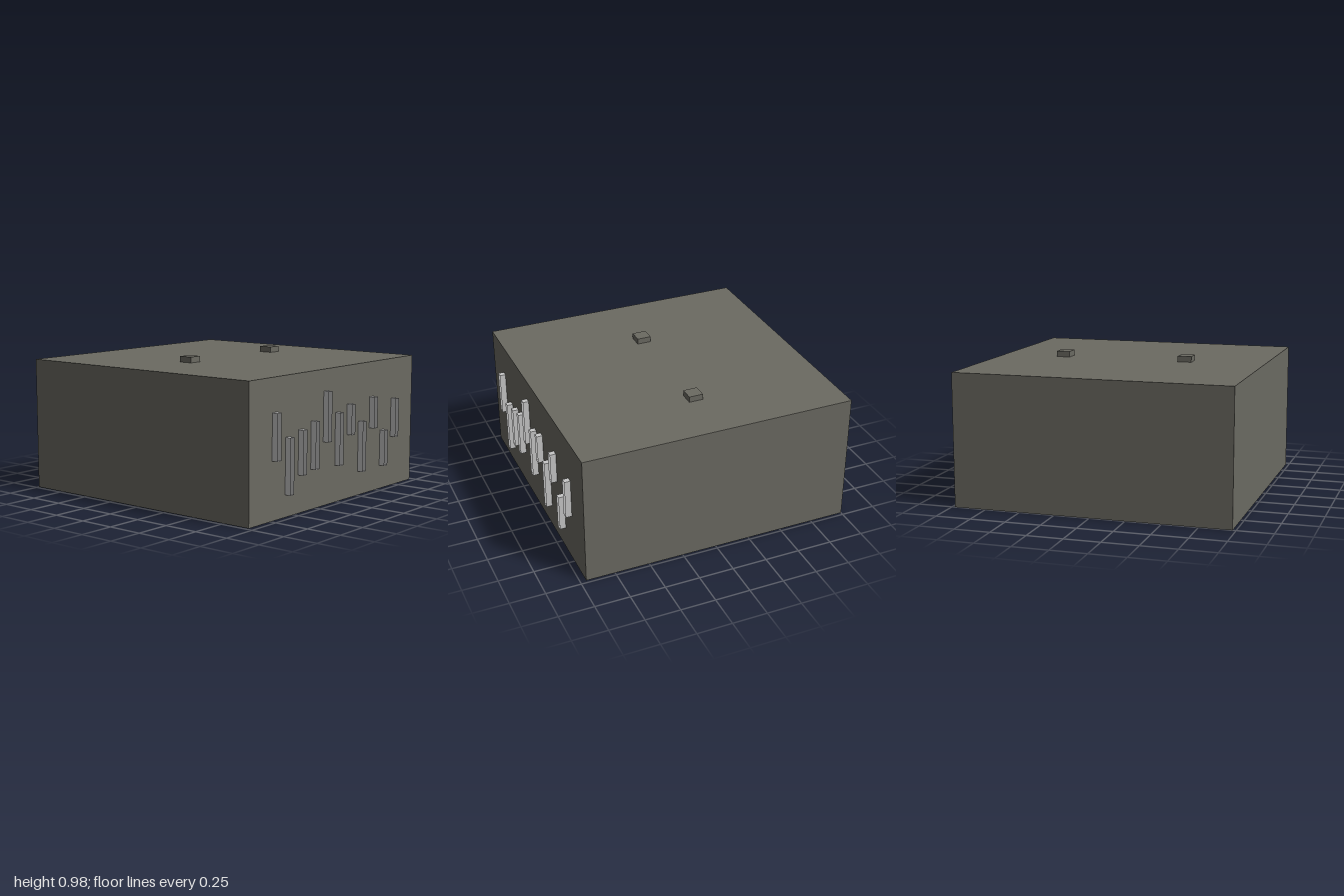
import * as THREE from 'three';

export function createModel() {
  const model = new THREE.Group();
  const darkGrey = new THREE.MeshStandardMaterial({ color: 0x6b6a62 });
  darkGrey.name = 'darkGrey';
  const lightGrey = new THREE.MeshStandardMaterial({ color: 0xc8c8c8, side: THREE.DoubleSide });
  lightGrey.name = 'lightGrey';

  const add = (name, geometry, material, x, y, z) => {
    const mesh = new THREE.Mesh(geometry, material);
    mesh.name = name;
    mesh.position.set(x, y, z);
    model.add(mesh);
  };

  // Main block
  add('body', new THREE.BoxGeometry(1.957, 0.94, 1.954), darkGrey, -0.0215, 0.47, 0);

  // Two small blocks on the roof
  for (const z of [0.407, -0.513]) {
    add('roofBlock', new THREE.BoxGeometry(0.102, 0.042, 0.1), darkGrey, -0.024, 0.96, z);
  }

  // Open-ended rectangular sleeve: a box without its two x faces
  const sleeve = (width, height, depth) => {
    const geometry = new THREE.BoxGeometry(width, height, depth);
    geometry.setIndex(Array.from(geometry.index.array).slice(12));
    geometry.clearGroups();
    return geometry;
  };

  // Row of upright slot frames on the left wall, front to back: [bottom, top]
  const slots = [
    [0.397, 0.712], [0.15, 0.533], [0.26, 0.565], [0.277, 0.604], [0.443, 0.79], [0.26, 0.628],
    [0.455, 0.67], [0.172, 0.533], [0.465, 0.69], [0.172, 0.433], [0.365, 0.648],
  ];
  slots.forEach(([bottom, top], i) => {
    add('slotFrame', sleeve(0.043, top - bottom, 0.041), lightGrey,
      0.9785, (bottom + top) / 2, 0.716 - i * 0.1428);
  });

  return model;
}
